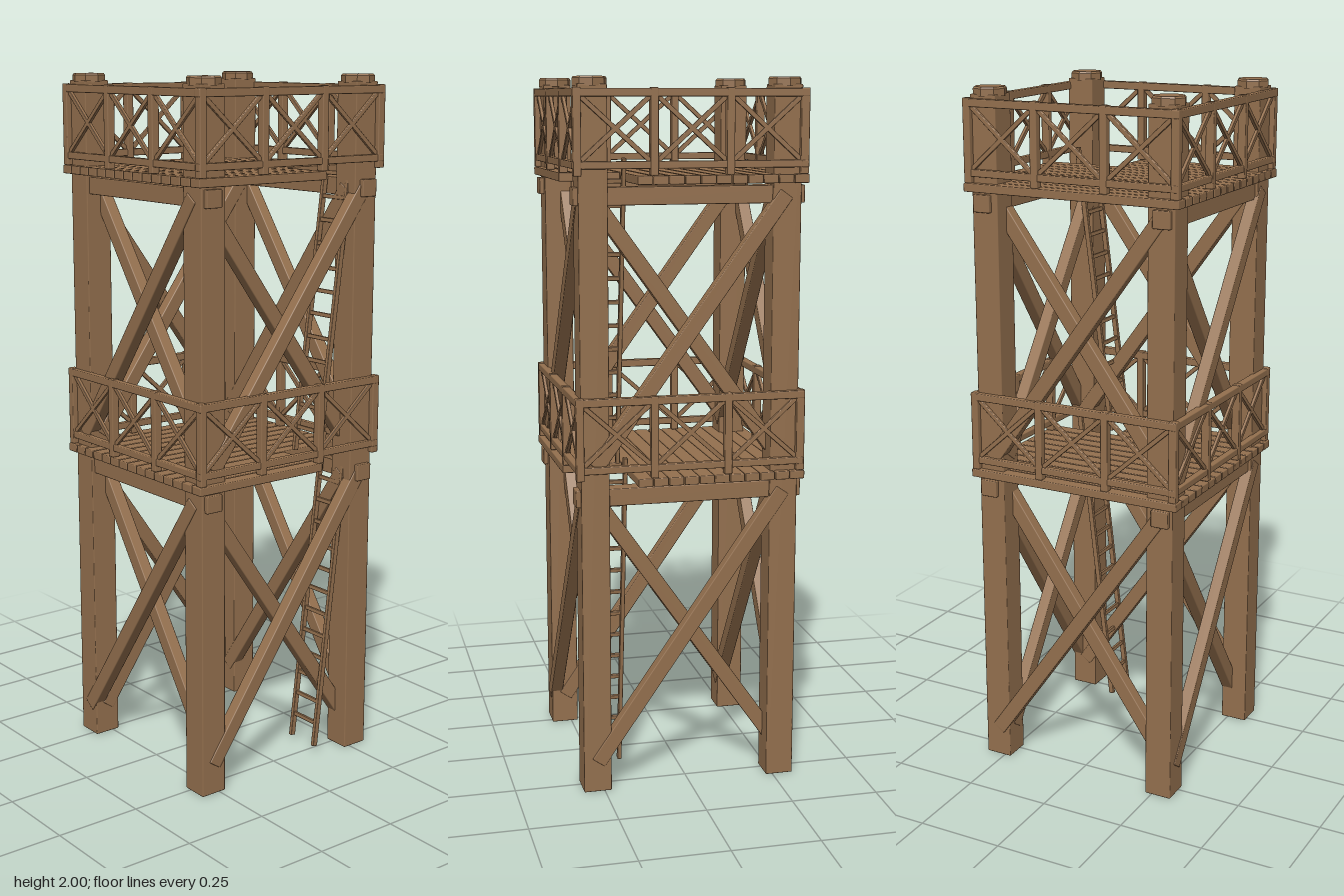
import * as THREE from 'three';
import { RoundedBoxGeometry } from 'three/addons/geometries/RoundedBoxGeometry.js';

const wood = new THREE.MeshStandardMaterial({ color: 0x94704e });
wood.name = 'brown wood';

// Timber with slightly bevelled edges
function timber(parent, name, w, h, d, x, y, z, bevel = 0.003) {
  const mesh = new THREE.Mesh(new RoundedBoxGeometry(w, h, d, 1, bevel), wood);
  mesh.name = name;
  mesh.position.set(x, y, z);
  parent.add(mesh);
  return mesh;
}

// Timber in a plane facing z, running between two points
function diagonal(parent, name, x1, y1, x2, y2, z, width, depth, bevel) {
  const length = Math.hypot(x2 - x1, y2 - y1);
  const mesh = timber(parent, name, length, width, depth, (x1 + x2) / 2, (y1 + y2) / 2, z, bevel);
  mesh.rotation.z = Math.atan2(y2 - y1, x2 - x1);
}

function group(parent, name) {
  const g = new THREE.Group();
  g.name = name;
  parent.add(g);
  return g;
}

// Corner post with an eight-sided cap
function cornerPost(parent, x, z) {
  const post = group(parent, 'cornerPost');
  timber(post, 'postShaft', 0.08, 1.98, 0.08, x, 0.99, z);
  for (const [top, h, y] of [[0.047, 0.02, 1.985], [0.043, 0.005, 1.9975]]) {
    const geo = new THREE.CylinderGeometry(top, 0.047, h, 8).toNonIndexed();
    geo.computeVertexNormals();
    const cap = new THREE.Mesh(geo, wood);
    cap.name = 'postCap';
    cap.position.set(x, y, z);
    post.add(cap);
  }
}

// Plank floor on two beams, with a ladder opening in the back corner
function deck(parent, y) {
  const floor = group(parent, 'deck');
  const pitch = 0.656 / 15;
  for (let i = 0; i < 15; i++) {
    const back = i < 11 ? -0.328 : -0.11;
    timber(floor, 'plank', 0.041, 0.024, 0.328 - back,
      -0.328 + (i + 0.5) * pitch, y, (0.328 + back) / 2);
  }
  for (const z of [-0.275, 0.275]) {
    timber(floor, 'beam', 0.646, 0.049, 0.052, 0, y - 0.0425, z);
  }
}

// One side of the railing: rails, uprights and three crossed panels
function railing(parent, y) {
  const side = group(parent, 'railing');
  const z = 0.314;
  timber(side, 'topRail', 0.652, 0.022, 0.023, 0, y + 0.229, z);
  timber(side, 'bottomRail', 0.652, 0.02, 0.02, 0, y + 0.04, z);
  for (const x of [-0.314, -0.105, 0.105]) {
    timber(side, 'railPost', 0.022, 0.23, 0.024, x, y + 0.127, z);
  }
  for (const x of [-0.2095, 0, 0.2095]) {
    for (const s of [-1, 1]) {
      diagonal(side, 'railCross', x - 0.095, y + 0.135 - s * 0.085,
        x + 0.095, y + 0.135 + s * 0.085, z, 0.013, 0.01, 0.002);
    }
  }
}

// Crossed braces on one side of the tower
function braces(parent, y, rise) {
  const side = group(parent, 'crossBraces');
  diagonal(side, 'outerBrace', -0.268, y - rise, 0.268, y + rise, 0.295, 0.043, 0.036);
  diagonal(side, 'innerBrace', -0.268, y + rise, 0.268, y - rise, 0.246, 0.043, 0.036);
}

// Ladder leaning towards the back
function ladder(parent, y0, y1, firstRung, rungs) {
  const g = group(parent, 'ladder');
  const z0 = -0.137, z1 = -0.248;
  const length = Math.hypot(y1 - y0, z1 - z0);
  const lean = Math.atan2(z1 - z0, y1 - y0);
  for (const x of [0.173, 0.275]) {
    const rail = timber(g, 'ladderRail', 0.012, length, 0.016, x, (y0 + y1) / 2, (z0 + z1) / 2, 0.002);
    rail.rotation.x = lean;
  }
  for (let i = 0; i < rungs; i++) {
    const y = firstRung + i * 0.0667;
    const z = z0 + (z1 - z0) * (y - y0) / (y1 - y0);
    timber(g, 'rung', 0.1, 0.012, 0.01, 0.224, y, z, 0.002).rotation.x = lean;
  }
}

export function createModel() {
  const model = new THREE.Group();
  model.name = 'watchtower';

  for (const x of [-0.27, 0.27]) {
    for (const z of [-0.27, 0.27]) cornerPost(model, x, z);
  }

  const deckHeights = [0.903, 1.729];
  for (const y of deckHeights) deck(model, y);

  // The same railing and braces turned round all four sides
  for (let k = 0; k < 4; k++) {
    const side = group(model, 'towerSide');
    side.rotation.y = k * Math.PI / 2;
    for (const y of deckHeights) railing(side, y);
    braces(side, 0.472, 0.385);
    braces(side, 1.318, 0.37);
  }

  ladder(model, 0.02, 0.96, 0.09, 13);
  ladder(model, 0.92, 1.785, 0.99, 12);
  return model;
}
